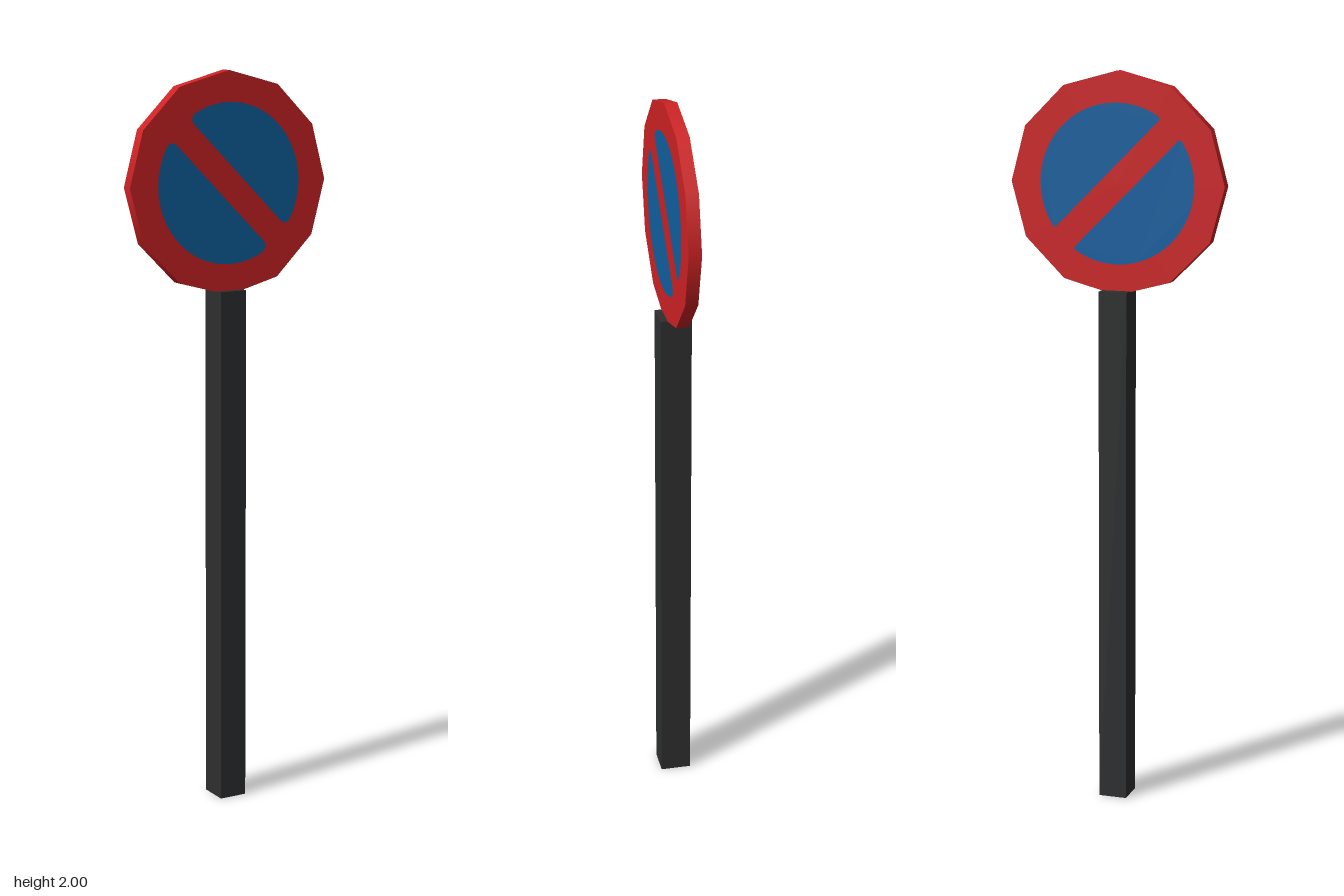
import * as THREE from 'three';

const R = 0.297, CY = 2 - R;           // sign plate radius and centre height
const Z_FRONT = 0.022, Z_BACK = -0.012; // plate faces
const BLUE_R = 0.214;

const mat = (name, color) => {
  const m = new THREE.MeshStandardMaterial({ color });
  m.name = name;
  return m;
};

// Circle segment above a chord at height h, with corners softened by an angle `soft`
function segmentShape(h, soft) {
  const a = Math.asin(h / BLUE_R);
  const cx = BLUE_R * Math.cos(a);
  const s = new THREE.Shape();
  const start = a + soft, end = Math.PI - a - soft;
  const inset = cx - soft * BLUE_R;
  s.moveTo(-inset, h);
  s.lineTo(inset, h);
  s.quadraticCurveTo(cx, h, BLUE_R * Math.cos(start), BLUE_R * Math.sin(start));
  s.absarc(0, 0, BLUE_R, start, end, false);
  s.quadraticCurveTo(-cx, h, -inset, h);
  return s;
}

export function createModel() {
  const model = new THREE.Group();
  model.name = 'roadSign';
  const red = mat('signRed', 0xcf2224);
  const blue = mat('signBlue', 0x0f60a0);
  const dark = mat('postDark', 0x2e2f30);

  // Square post
  const post = new THREE.Mesh(new THREE.BoxGeometry(0.078, 1.418, 0.084), dark);
  post.position.set(0.002, 0.709, -0.001);
  post.name = 'post';
  model.add(post);

  // Twelve-sided plate with a point at the top and a smooth rim
  const plateGeo = new THREE.CylinderGeometry(R, R, Z_FRONT - Z_BACK, 12);
  plateGeo.rotateX(Math.PI / 2);
  const plate = new THREE.Mesh(plateGeo, red);
  plate.position.set(0, CY, (Z_FRONT + Z_BACK) / 2);
  plate.name = 'signPlate';
  model.add(plate);

  // Blue half fields on both faces, leaving the red diagonal bar between them
  const sides = [
    { name: 'front', z: Z_FRONT + 0.001, turn: 0, tilt: -Math.PI / 4, soft: 0.13 },
    { name: 'back', z: Z_BACK - 0.001, turn: Math.PI, tilt: Math.PI / 4, soft: 0.05 },
  ];
  for (const side of sides) {
    const face = new THREE.Group();
    face.name = side.name + 'Face';
    face.position.set(0, CY, side.z);
    face.rotation.y = side.turn;
    const geo = new THREE.ShapeGeometry(segmentShape(0.037, side.soft), 20);
    ['upper', 'lower'].forEach((half, i) => {
      const field = new THREE.Mesh(geo, blue);
      field.rotation.z = side.tilt + i * Math.PI;
      field.name = `${side.name}${half === 'upper' ? 'Upper' : 'Lower'}Field`;
      face.add(field);
    });
    model.add(face);
  }
  return model;
}
